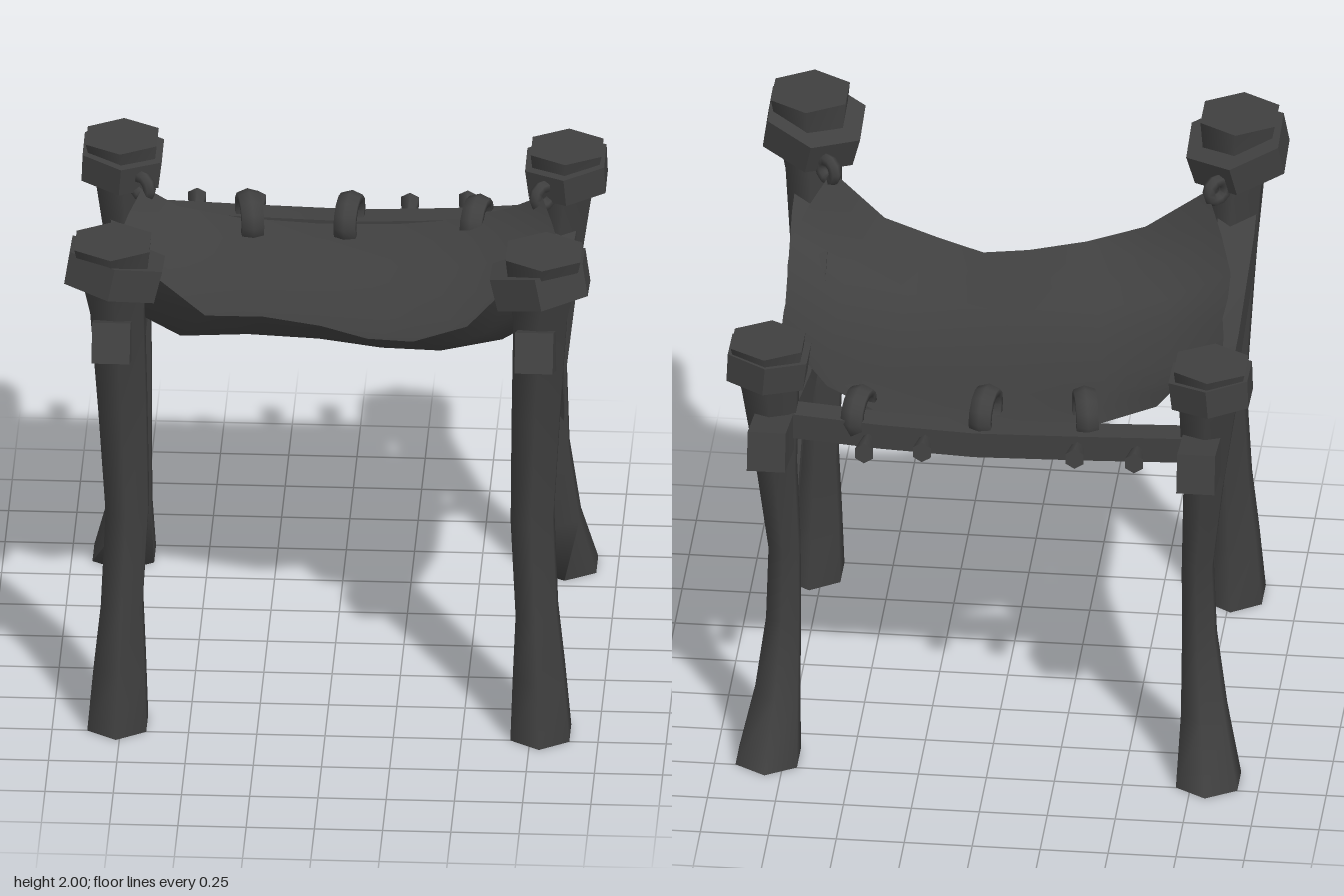
import * as THREE from 'three';
import { toCreasedNormals } from 'three/addons/utils/BufferGeometryUtils.js';

const V = (x, y, z) => new THREE.Vector3(x, y, z);
const dark = new THREE.MeshStandardMaterial({ color: 0x404040 });
const clothMat = new THREE.MeshStandardMaterial({ color: 0x404040, side: THREE.DoubleSide });

// Joins cross-sections (each ordered counter-clockwise seen from the end) into a capped solid
function loft(sections, crease) {
  const n = sections[0].length, last = (sections.length - 1) * n, index = [];
  for (let s = 0; s < last; s += n) {
    for (let i = 0; i < n; i++) {
      const j = (i + 1) % n;
      index.push(s + i, s + j, s + n + j, s + i, s + n + j, s + n + i);
    }
  }
  for (let i = 1; i < n - 1; i++) index.push(0, i + 1, i, last, last + i, last + i + 1);
  const geo = new THREE.BufferGeometry().setFromPoints(sections.flat());
  geo.setIndex(index);
  return toCreasedNormals(geo, crease);
}

// Six-sided post from rows of [x, y, z, half width in x, half depth in z]
function post(rows, side) {
  return loft(rows.map(([x, y, z, w, d]) => Array.from({ length: 6 }, (_, i) => {
    const a = Math.PI / 6 + i * Math.PI / 3;
    return V(side * x + w / 0.866 * Math.cos(a), y, z - d * Math.sin(a));
  })), 1.45);
}

// Rectangular bar along a bent path; axis is the direction of its width
function bar(path, axis, width, height) {
  return loft(path.map((p, i) => {
    const t = path[Math.min(i + 1, path.length - 1)].clone().sub(path[Math.max(i - 1, 0)]).normalize();
    const up = t.cross(axis).normalize();
    return [[-1, -1], [1, -1], [1, 1], [-1, 1]].map(([a, b]) =>
      p.clone().addScaledVector(axis, a * width / 2).addScaledVector(up, b * height / 2));
  }), 0.5);
}

// Hanging cloth: a patch blended between its four edge curves, eased upward in the middle
function clothGeometry() {
  const curve = (pts) => new THREE.CatmullRomCurve3(pts.map((p) => V(...p)));
  const bl = [-0.73, 1.61, -0.48], br = [0.73, 1.61, -0.48], fl = [-0.68, 1.79, 0.52], fr = [0.7, 1.79, 0.52];
  const back = curve([bl, [-0.58, 1.48, -0.565], [-0.3, 1.42, -0.61], [0.05, 1.42, -0.635], [0.35, 1.43, -0.615], [0.58, 1.5, -0.575], br]);
  const front = curve([fl, [-0.45, 1.61, 0.545], [-0.24, 1.575, 0.475], [-0.03, 1.535, 0.46], [0.14, 1.5, 0.485], [0.31, 1.52, 0.54], [0.51, 1.59, 0.545], fr]);
  const left = curve([bl, [-0.81, 1.53, -0.2], [-0.78, 1.5, 0.1], [-0.785, 1.55, 0.34], fl]);
  const right = curve([br, [0.81, 1.54, -0.2], [0.82, 1.51, 0.1], [0.835, 1.585, 0.38], fr]);
  const nu = 7, nv = 8, pts = [], index = [];
  for (let j = 0; j <= nv; j++) {
    for (let i = 0; i <= nu; i++) {
      const u = i / nu, v = j / nv, p = V(0, 0, 0);
      p.addScaledVector(back.getPoint(u), 1 - v).addScaledVector(front.getPoint(u), v);
      p.addScaledVector(left.getPoint(v), 1 - u).addScaledVector(right.getPoint(v), u);
      p.addScaledVector(V(...bl), -(1 - u) * (1 - v)).addScaledVector(V(...br), -u * (1 - v));
      p.addScaledVector(V(...fl), -(1 - u) * v).addScaledVector(V(...fr), -u * v);
      p.y += 0.08 * Math.pow(16 * u * (1 - u) * v * (1 - v), 1 - 0.55 * u);
      pts.push(p);
      if (i < nu && j < nv) {
        const a = j * (nu + 1) + i, b = a + nu + 1;
        index.push(a, b, b + 1, a, b + 1, a + 1);
      }
    }
  }
  const geo = new THREE.BufferGeometry().setFromPoints(pts);
  geo.setIndex(index);
  geo.computeVertexNormals();
  return geo;
}

export function createModel() {
  const model = new THREE.Group();
  model.name = 'slungClothFrame';
  const add = (name, geo, mat = dark) => {
    const mesh = new THREE.Mesh(geo, mat);
    mesh.name = name;
    model.add(mesh);
    return mesh;
  };
  const X = V(1, 0, 0), Z = V(0, 0, 1);
  const frontLeg = [[0.775, 0, 0.68, 0.108, 0.143], [0.768, 0.25, 0.675, 0.093, 0.13], [0.76, 0.5, 0.668, 0.075, 0.12],
    [0.742, 0.87, 0.635, 0.077, 0.115], [0.757, 1.3, 0.667, 0.087, 0.115], [0.775, 1.72, 0.70, 0.097, 0.12],
    [0.79, 2, 0.73, 0.137, 0.16]];
  const backLeg = [[0.81, 0, -0.68, 0.113, 0.138], [0.785, 0.25, -0.595, 0.08, 0.106], [0.765, 0.55, -0.57, 0.06, 0.083],
    [0.76, 0.85, -0.58, 0.055, 0.08], [0.785, 1.2, -0.615, 0.07, 0.088], [0.805, 1.55, -0.635, 0.1, 0.12],
    [0.815, 1.735, -0.635, 0.13, 0.148]];
  const band = (r, h) => toCreasedNormals(new THREE.CylinderGeometry(r, r * 0.97, h, 6), 0.5);

  for (const side of [1, -1]) {
    const tag = side > 0 ? 'left' : 'right';

    // Legs with tilted bands near the top; the front pair stands slightly off centre
    add(tag + 'FrontLeg', post(frontLeg, side)).position.x = 0.012;
    add(tag + 'BackLeg', post(backLeg, side));
    const fb = add(tag + 'FrontBand', band(0.2, 0.125));
    fb.position.set(side * 0.782 + 0.006, 1.87, 0.703);
    fb.rotation.set(-0.17, 0, side * 0.2);
    const bb = add(tag + 'BackBand', band(0.168, 0.11));
    bb.position.set(side * 0.815, 1.64, -0.63);
    bb.rotation.set(0.06, 0, side * 0.08);

    // Sagging side beam and its brace
    const beam = [[0.775, 1.685, 0.935], [0.78, 1.53, 0.57], [0.765, 1.34, 0.17],
      [0.765, 1.32, -0.27], [0.785, 1.365, -0.6], [0.79, 1.44, -0.94]];
    add(tag + 'SideBeam', bar(beam.map(([x, y, z]) => V(side * x, y, z)), X, 0.14, 0.15));
    const brace = [[0.765, 1.32, -0.01], [0.765, 1.16, -0.24], [0.77, 0.8, -0.515], [0.77, 0.65, -0.57]];
    add(tag + 'Brace', bar(brace.map(([x, y, z]) => V(side * x, y, z)), X, 0.08, 0.075));

    // Ties from the cloth corners to the legs
    for (const [end, x, y, z] of [['Front', 0.715, 1.79, 0.53], ['Back', 0.735, 1.6, -0.5]]) {
      const tie = add(tag + end + 'Tie', new THREE.TorusGeometry(0.04, 0.024, 6, 10));
      tie.position.set(side * x, y, z);
      tie.rotation.y = -side * Math.sign(z) * Math.PI / 4;
    }
  }

  // Back rail
  add('backRail', bar([[-0.78, 1.4], [-0.35, 1.385], [0.05, 1.375], [0.4, 1.39], [0.78, 1.42]]
    .map(([x, y]) => V(x, y, -0.65)), Z, 0.1, 0.1));

  add('cloth', clothGeometry(), clothMat);

  // Rings holding the cloth to the rail
  for (const [x, y, z, turn] of [[-0.345, 1.455, -0.565, 0.2], [0.02, 1.45, -0.58, -0.15], [0.485, 1.435, -0.605, -0.2]]) {
    const ring = add('railRing', new THREE.TorusGeometry(0.083, 0.029, 6, 12));
    ring.position.set(x, y, z);
    ring.rotation.y = Math.PI / 2 + turn;
    ring.scale.set(1, 0.9, 1.6);
  }

  // Pegs sticking out behind the rail
  for (const [x, reach] of [[-0.55, 0.82], [-0.33, 0.81], [0.23, 0.82], [0.44, 0.85]]) {
    const peg = add('railPeg', toCreasedNormals(new THREE.CylinderGeometry(0.038, 0.018, 0.17, 6), 1.15));
    peg.position.set(x, 1.39, 0.085 - reach);
    peg.rotation.x = -Math.PI / 2 + 0.15;
  }
  return model;
}
